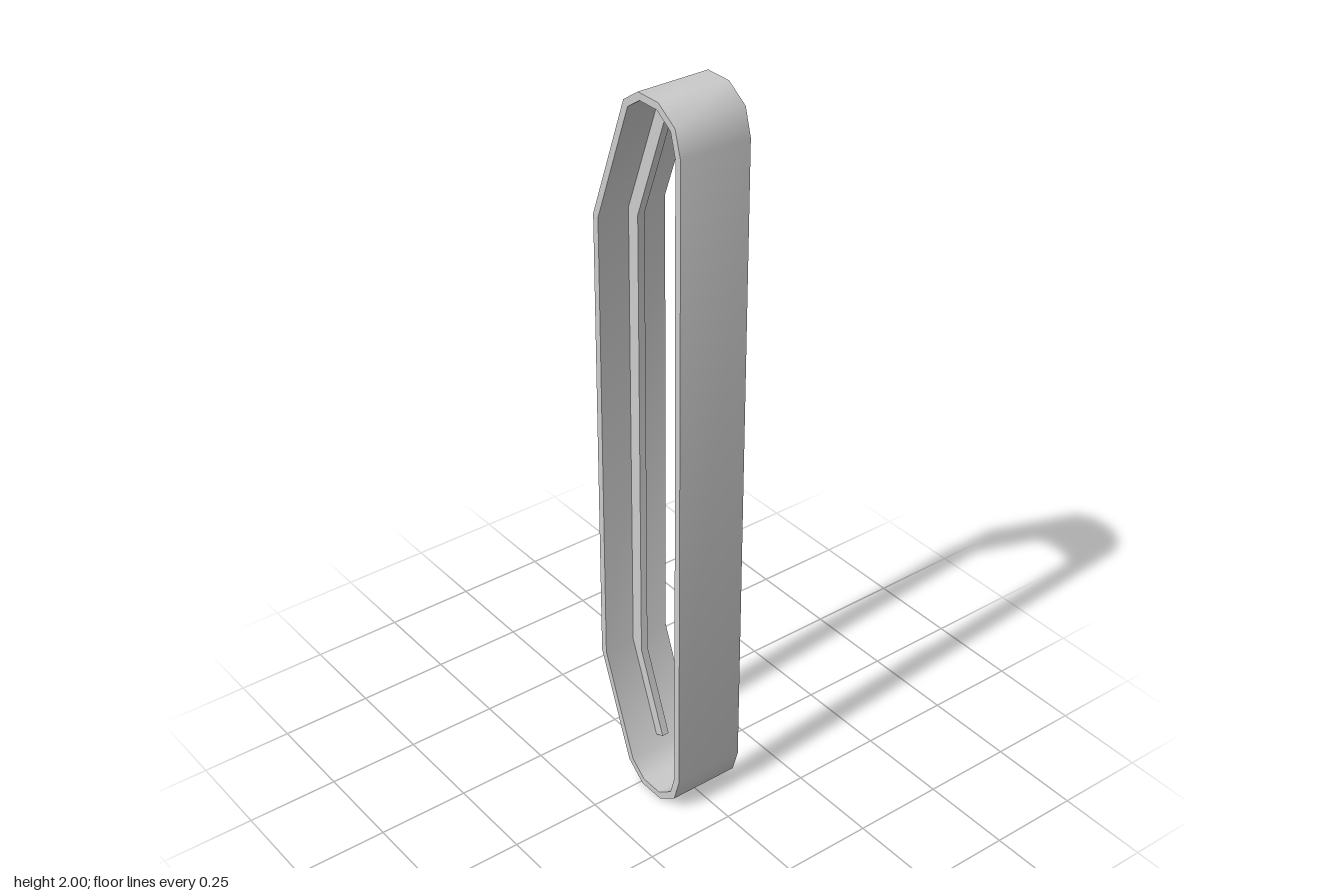
import * as THREE from 'three';
import { toCreasedNormals } from 'three/addons/utils/BufferGeometryUtils.js';

const WIDTH = 0.197, THICKNESS = 0.019, RIB_WIDTH = 0.02;

// Outer loop as [z, y], running clockwise from the lower front corner
const OUTER = [
  [0.166, 0.11], [0.166, 1.89], [0.146, 1.96], [0.086, 2], [0.012, 2], [-0.042, 1.963],
  [-0.166, 1.63], [-0.166, 0.345], [-0.05, 0.045], [0.008, 0], [0.086, 0], [0.146, 0.043],
].map(([z, y]) => new THREE.Vector2(z, y));

// Moves every side of a closed loop inwards by d, with mitred corners
function inset(loop, d) {
  const n = loop.length;
  const normal = (a, b) => new THREE.Vector2(-(b.y - a.y), b.x - a.x).normalize();
  return loop.map((p, i) => {
    const n1 = normal(loop[(i + n - 1) % n], p);
    const n2 = normal(p, loop[(i + 1) % n]);
    return n1.clone().add(n2).multiplyScalar(d / (1 + n1.dot(n2))).add(p);
  });
}

// Extrudes a z-y outline across x, centred
function sweep(name, shape, width, material) {
  const geometry = new THREE.ExtrudeGeometry(shape, { depth: width, bevelEnabled: false });
  geometry.translate(0, 0, -width / 2);
  geometry.rotateY(-Math.PI / 2);
  const mesh = new THREE.Mesh(toCreasedNormals(geometry, THREE.MathUtils.degToRad(50)), material);
  mesh.name = name;
  return mesh;
}

export function createModel() {
  const group = new THREE.Group();
  group.name = 'trackLoop';
  const material = new THREE.MeshStandardMaterial({ color: 0xcccccc });

  // Closed outer belt
  const inner = inset(OUTER, THICKNESS);
  const belt = new THREE.Shape(OUTER);
  belt.holes.push(new THREE.Path(inner));
  group.add(sweep('belt', belt, WIDTH, material));

  // Narrow guide rib along the inside of the belt, open at the bottom
  const ribOuter = inset(OUTER, THICKNESS - 0.003).slice(1, 8);
  const ribInner = [
    [-0.019, 0.1], [-0.111, 0.335], [-0.111, 1.62], [-0.002, 1.915], [0.012, 1.94], [0.035, 1.957],
    [0.073, 1.957], [0.098, 1.94], [0.11, 1.905], [0.116, 1.88], [0.116, 1.08], [0.111, 1.08], [0.111, 0.117],
  ].map(([z, y]) => new THREE.Vector2(z, y));
  const rib = new THREE.Shape([
    new THREE.Vector2(0.149, 0.113), ...ribOuter, new THREE.Vector2(-0.05, 0.086), ...ribInner,
  ]);
  group.add(sweep('guideRib', rib, RIB_WIDTH, material));

  return group;
}
